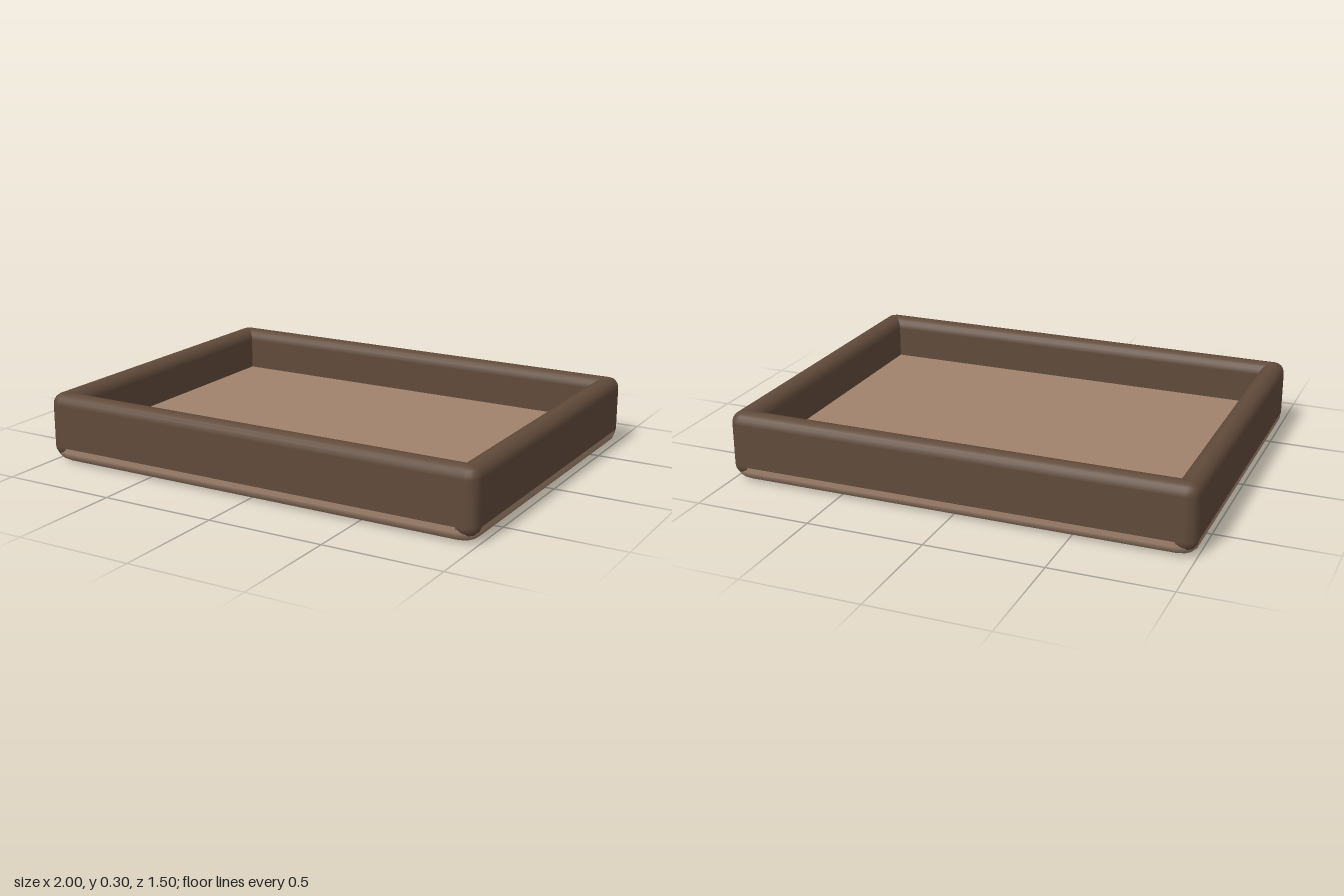
import * as THREE from 'three';
import { RoundedBoxGeometry } from 'three/addons/geometries/RoundedBoxGeometry.js';

export function createModel() {
  const tray = new THREE.Group();
  tray.name = 'tray';
  const darkWood = new THREE.MeshStandardMaterial({ color: 0x604a3a });
  darkWood.name = 'darkWood';
  const lightWood = new THREE.MeshStandardMaterial({ color: 0xa0826d });
  lightWood.name = 'lightWood';

  function add(name, geometry, material, x, y, z) {
    const mesh = new THREE.Mesh(geometry, material);
    mesh.name = name;
    mesh.position.set(x, y, z);
    tray.add(mesh);
  }

  // Floor slab: a rounded box stretched so its edges are wide and shallow
  const floor = new RoundedBoxGeometry(1, 0.1, 1, 2, 0.04);
  floor.scale(1.998, 1.15, 1.497);
  add('floor', floor, lightWood, 0, 0.0575, 0);

  // Thin front and back faces of the slab, showing as a strip under the walls
  for (const side of [1, -1]) {
    add(side > 0 ? 'frontFloorEdge' : 'backFloorEdge',
      new THREE.BoxGeometry(1.84, 0.022, 0.004), lightWood, 0, 0.055, side * 0.7485);
  }

  // Four rounded walls that overlap at the corners
  const bottom = 0.02, top = 0.3, thick = 0.1, radius = 0.048;
  const height = top - bottom, middle = (top + bottom) / 2;
  for (const side of [1, -1]) {
    add(side > 0 ? 'frontWall' : 'backWall',
      new RoundedBoxGeometry(2, height, thick, 2, radius), darkWood,
      0, middle, side * (0.75 - thick / 2));
    add(side > 0 ? 'leftWall' : 'rightWall',
      new RoundedBoxGeometry(thick, height, 1.5, 2, radius), darkWood,
      side * (1 - thick / 2), middle, 0);
  }
  return tray;
}
